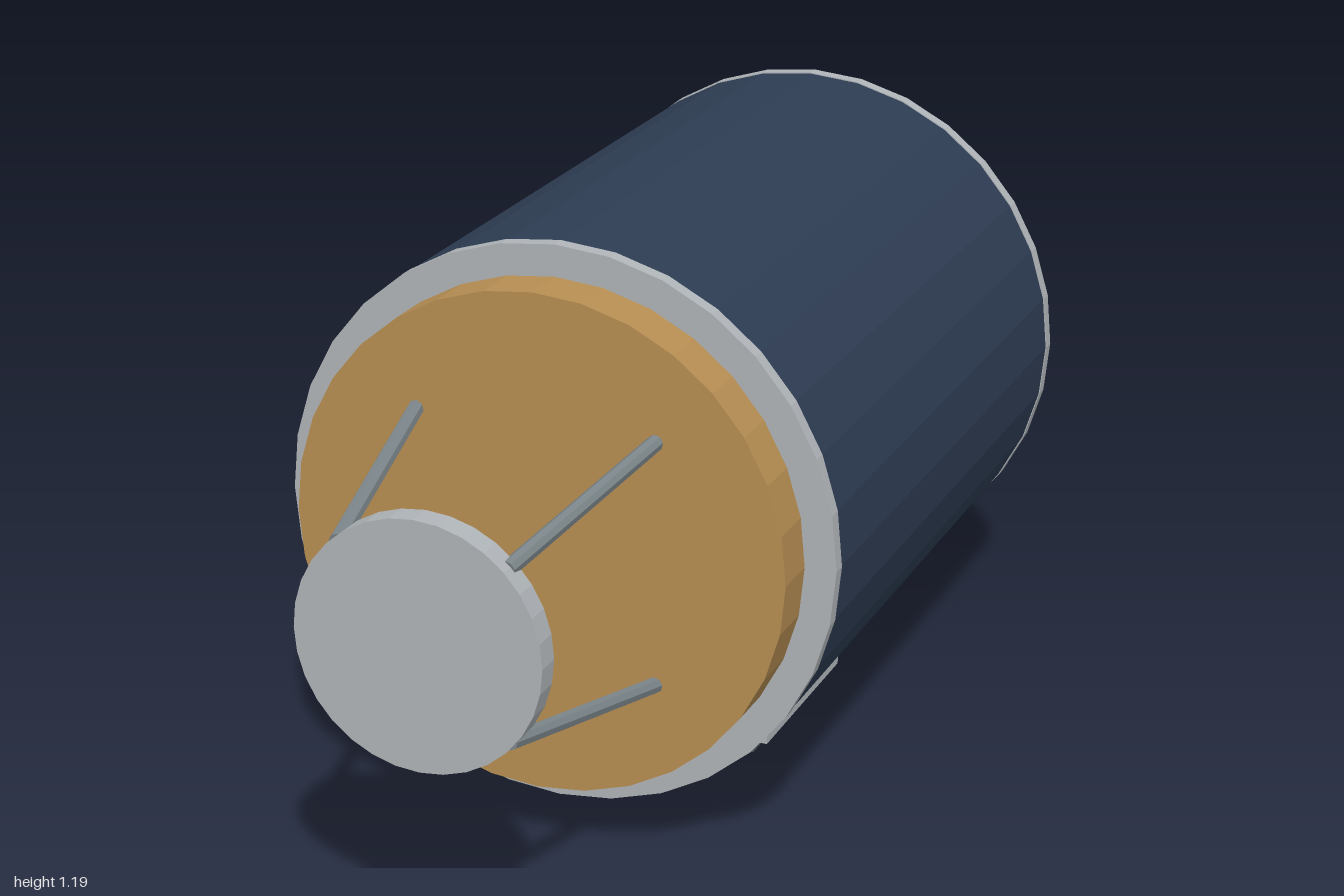
import * as THREE from 'three';

const CY = 0.627; // height of the barrel axis

function mat(name, color) {
  const m = new THREE.MeshStandardMaterial({ color, flatShading: true });
  m.name = name;
  return m;
}

export function createModel() {
  const group = new THREE.Group();
  const navy = mat('navy', 0x2e3d54);
  const silver = mat('silver', 0xb0b5b9);
  const gold = mat('gold', 0xb88f53);
  const steel = mat('steel', 0x7b8589);
  const charcoal = mat('charcoal', 0x4c5559);

  const add = (name, geometry, material) => {
    const mesh = new THREE.Mesh(geometry, material);
    mesh.name = name;
    group.add(mesh);
    return mesh;
  };

  // Drum lying along z, between two depths
  const drum = (name, radius, z0, z1, material) => {
    const g = new THREE.CylinderGeometry(radius, radius, z1 - z0, 32);
    g.rotateX(Math.PI / 2);
    g.translate(0, CY, (z0 + z1) / 2);
    return add(name, g, material);
  };

  // Barrel, end rings, front plate and front disc
  drum('barrel', 0.558, -0.97, 0.37, navy);
  drum('rearRing', 0.56, -1, -0.97, silver);
  drum('frontRing', 0.56, 0.37, 0.4, silver);
  drum('frontPlate', 0.498, 0.4, 0.5, gold);
  drum('frontDisc', 0.24, 0.95, 1, silver);

  // Four struts converging on the front disc
  const up = new THREE.Vector3(0, 1, 0);
  for (const sx of [1, -1]) {
    for (const sy of [1, -1]) {
      const a = new THREE.Vector3(sx * 0.242, CY + sy * 0.242, 0.495);
      const b = new THREE.Vector3(sx * 0.163, CY + sy * 0.163, 0.97);
      const dir = b.clone().sub(a);
      const strut = add('strut', new THREE.CylinderGeometry(0.016, 0.016, dir.length(), 8), steel);
      strut.position.copy(a).add(b).multiplyScalar(0.5);
      strut.quaternion.setFromUnitVectors(up, dir.normalize());
    }
  }

  // Mounting block and foot
  add('mountBlock', new THREE.BoxGeometry(0.556, 0.1, 0.43), silver).position.set(0, 0.093, -0.225);
  add('foot', new THREE.BoxGeometry(0.47, 0.05, 0.36), charcoal).position.set(0, 0.025, -0.228);

  return group;
}
